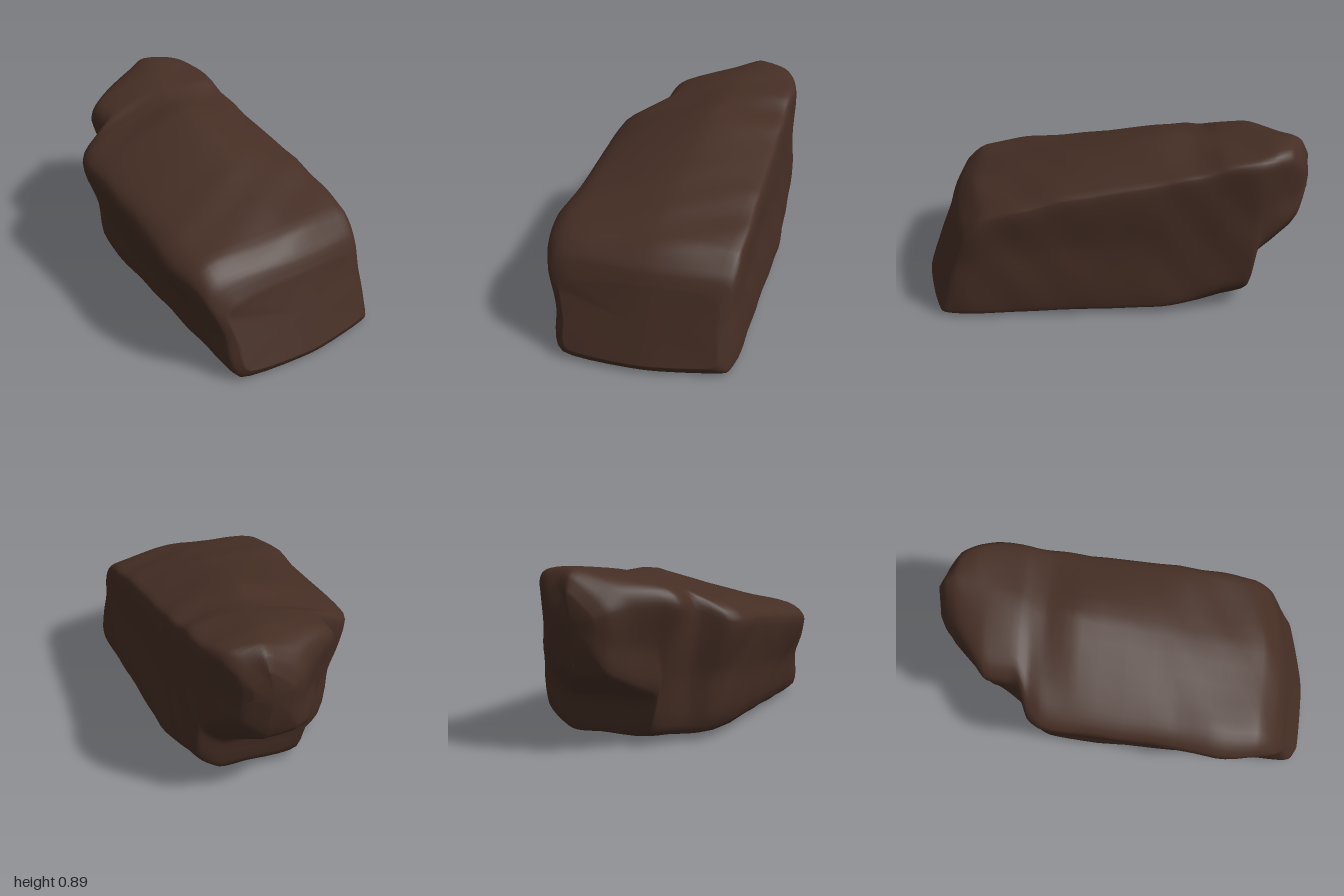
import * as THREE from 'three';

// One row per cross-section, front to back:
// zBottom, zTop, yBottom, xBottomLeft, xLeft, xTopLeft, yTopLeft, yTopMiddle, xRight, yTopRight
const SECTIONS = [
  [1.035, 0.905, 0.05, -0.30, -0.36, -0.36, 0.36, 0.42, 0.44, 0.38],
  [1.01, 0.865, 0.005, -0.34, -0.44, -0.45, 0.47, 0.50, 0.50, 0.47],
  [0.90, 0.755, 0.005, -0.34, -0.485, -0.48, 0.54, 0.59, 0.52, 0.57],
  [0.60, 0.50, 0.01, -0.34, -0.515, -0.49, 0.58, 0.66, 0.52, 0.62],
  [0.30, 0.25, 0.02, -0.34, -0.485, -0.46, 0.61, 0.73, 0.515, 0.68],
  [-0.22, -0.22, 0.03, -0.33, -0.47, -0.44, 0.67, 0.835, 0.51, 0.76],
  [-0.40, -0.40, 0.03, -0.30, -0.455, -0.42, 0.69, 0.825, 0.505, 0.79],
  [-0.48, -0.48, 0.035, -0.25, -0.405, -0.37, 0.70, 0.84, 0.505, 0.81],
  [-0.54, -0.55, 0.04, -0.17, -0.265, -0.25, 0.76, 0.86, 0.505, 0.83],
  [-0.68, -0.71, 0.06, -0.07, -0.24, -0.23, 0.78, 0.875, 0.50, 0.855],
  [-0.71, -0.80, 0.24, -0.11, -0.155, -0.15, 0.78, 0.885, 0.48, 0.865],
  [-0.82, -0.89, 0.31, -0.04, -0.04, -0.03, 0.77, 0.89, 0.43, 0.86],
  [-0.93, -0.95, 0.38, 0.05, 0.03, 0.05, 0.73, 0.86, 0.37, 0.81],
  [-0.97, -0.99, 0.50, 0.12, 0.10, 0.12, 0.68, 0.78, 0.31, 0.75],
];
const AROUND = 56;
const STEPS = 4;

// Rounded outline of one section, counter-clockwise seen from the front
function sectionRing([zb, zt, yb, xBL, xL, xTL, yTL, yM, xR, yTR]) {
  const { lerp, smoothstep } = THREE.MathUtils;
  // The lower right edge is worn away towards the back
  const wear = 0.09 * smoothstep(-zb, 0.2, 0.7);
  const outline = [
    [xBL, yb + 0.01], [lerp(xBL, xR, 0.5), yb],
    [xR - 0.05 - wear, yb + 0.005], [xR - wear * 0.2, yb + 0.04 + wear],
    [xR - 0.02, lerp(yb, yTR, 0.55)], [xR - 0.018, yTR - 0.06], [xR - 0.07, yTR],
    [lerp(xTL, xR, 0.55), yM], [lerp(xTL, xR, 0.1), yTL + 0.02],
    [xL, lerp(yb, yTL, 0.87)], [lerp(xBL, xL, 0.5), lerp(yb, yTL, 0.45)],
  ].map(([x, y]) => {
    // The end faces lean, and the front is bowed in plan
    const z = lerp(zb, zt, (y - yb) / (yM - yb));
    const bow = 0.18 * Math.abs(x + 0.08) * smoothstep(z, 0.4, 0.9);
    return new THREE.Vector3(x, y, z - bow);
  });
  const curve = new THREE.CatmullRomCurve3(outline, true, 'catmullrom', 0.35);
  return Array.from({ length: AROUND }, (_, j) => curve.getPoint(j / AROUND));
}

// Gentle unevenness of the stone
function weather(p) {
  const bump = Math.sin(p.x * 13 + p.z * 8) * Math.sin(p.y * 15 - p.z * 11 + 1);
  p.x += 0.005 * bump;
  p.y += 0.006 * bump * Math.min(1, p.y * 6);
  return p;
}

function boulderGeometry() {
  const rings = SECTIONS.map(sectionRing);
  const rows = (rings.length - 1) * STEPS + 1;
  // Lengthwise splines through matching ring points
  const rails = Array.from({ length: AROUND }, (_, j) =>
    new THREE.CatmullRomCurve3(rings.map((r) => r[j]), false, 'catmullrom', 0.3));
  const points = [];
  for (let i = 0; i < rows; i++) {
    for (const rail of rails) points.push(weather(rail.getPoint(i / (rows - 1))));
  }
  const index = [];
  for (let i = 0; i < rows - 1; i++) {
    for (let j = 0; j < AROUND; j++) {
      const k = (j + 1) % AROUND;
      const a = i * AROUND + j, b = i * AROUND + k;
      index.push(a, a + AROUND, b, b, a + AROUND, b + AROUND);
    }
  }
  // Close both ends
  const close = (start, front) => {
    const centre = new THREE.Vector3();
    for (let j = 0; j < AROUND; j++) centre.addScaledVector(points[start + j], 1 / AROUND);
    centre.z += front ? 0.02 : -0.012;
    const c = points.push(centre) - 1;
    for (let j = 0; j < AROUND; j++) {
      const a = start + j, b = start + (j + 1) % AROUND;
      index.push(c, front ? a : b, front ? b : a);
    }
  };
  close(0, true);
  close((rows - 1) * AROUND, false);

  const geometry = new THREE.BufferGeometry().setFromPoints(points);
  geometry.setIndex(index);
  geometry.computeVertexNormals();
  return geometry;
}

export function createModel() {
  const group = new THREE.Group();
  group.name = 'rock';
  const stone = new THREE.MeshStandardMaterial({ color: 0x452e24 });
  stone.name = 'brown stone';
  const boulder = new THREE.Mesh(boulderGeometry(), stone);
  boulder.name = 'boulder';
  group.add(boulder);
  return group;
}
